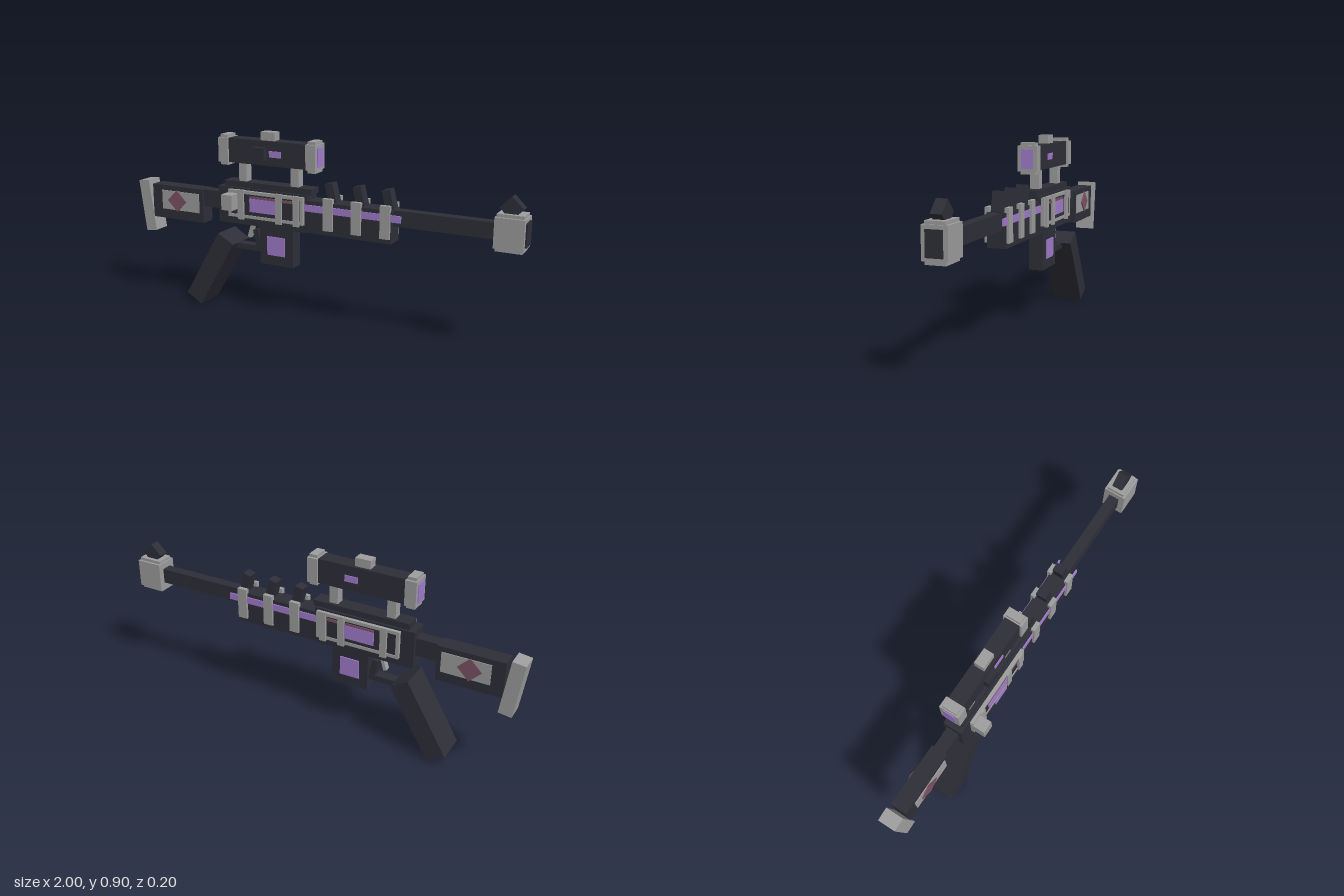
import * as THREE from 'three';

const mat = (name, color) => {
  const m = new THREE.MeshStandardMaterial({ color });
  m.name = name;
  return m;
};

export function createModel() {
  const dark = mat('charcoal', 0x2e2e38);
  const grey = mat('steel grey', 0x9e9e9e);
  const purple = mat('glowing purple', 0xa17ccd);
  const rose = mat('dusky rose', 0x7c5264);

  const model = new THREE.Group();
  model.name = 'longRifle';
  const body = new THREE.Group();
  body.name = 'body';
  body.position.z = -0.022; // centre plane of the body
  model.add(body);

  // Box from x and y limits; z limits are measured from the centre plane.
  const box = (name, m, x0, x1, y0, y1, z0, z1) => {
    const mesh = new THREE.Mesh(new THREE.BoxGeometry(x1 - x0, y1 - y0, z1 - z0), m);
    mesh.position.set((x0 + x1) / 2, (y0 + y1) / 2, (z0 + z1) / 2);
    mesh.name = name;
    body.add(mesh);
    return mesh;
  };
  const mid = (name, m, x0, x1, y0, y1, half) => box(name, m, x0, x1, y0, y1, -half, half);
  // The same box on both sides
  const pair = (name, m, x0, x1, y0, y1, near, far) => {
    box(name + 'Left', m, x0, x1, y0, y1, near, far);
    box(name + 'Right', m, x0, x1, y0, y1, -far, -near);
  };
  // Box turned about z, given by its centre
  const tilted = (name, m, x, y, w, h, half, degrees) => {
    const mesh = mid(name, m, x - w / 2, x + w / 2, y - h / 2, y + h / 2, half);
    mesh.rotation.z = THREE.MathUtils.degToRad(degrees);
    return mesh;
  };
  // Two crossing boxes give a block with stepped edges
  const steppedBlock = (name, m, x0, x1, y0, y1, half) => {
    mid(name + 'Wide', m, x0, x1, y0 + 0.014, y1 - 0.014, half);
    mid(name + 'Tall', m, x0 + 0.006, x1 - 0.006, y0, y1, half - 0.011);
  };

  // Stock with side plates and diamonds
  tilted('buttPad', grey, -0.953, 0.479, 0.062, 0.262, 0.043, 7.7);
  mid('stock', dark, -0.917, -0.612, 0.425, 0.595, 0.039);
  mid('stockNeck', dark, -0.62, -0.5, 0.51, 0.595, 0.029);
  pair('stockPlate', grey, -0.858, -0.634, 0.473, 0.57, 0.038, 0.043);
  for (const s of [1, -1]) {
    const d = tilted('stockDiamond', rose, -0.765, 0.522, 0.078, 0.078, 0.003, 45);
    d.position.z = s * 0.045;
  }

  // Receiver and forend
  mid('receiver', dark, -0.51, -0.02, 0.45, 0.63, 0.047);
  mid('receiverLid', dark, -0.479, -0.005, 0.63, 0.658, 0.036);
  mid('forend', dark, -0.02, 0.4, 0.452, 0.605, 0.044);
  mid('barrel', dark, 0.4, 0.9, 0.532, 0.605, 0.025);
  pair('forendStripe', purple, -0.04, 0.446, 0.555, 0.587, 0.043, 0.05);

  // Side panel, window and surrounding frame
  mid('sidePanel', dark, -0.44, -0.04, 0.5, 0.605, 0.06);
  pair('panelStripe', rose, -0.324, -0.085, 0.585, 0.598, 0.059, 0.064);
  pair('panelWindow', purple, -0.324, -0.165, 0.522, 0.587, 0.06, 0.066);
  for (const y of [0.488, 0.606])
    pair('frameRail', grey, -0.445, -0.035, y, y + 0.015, 0.045, 0.064);
  for (const x of [-0.445, -0.05])
    pair('frameEnd', grey, x, x + 0.015, 0.488, 0.621, 0.045, 0.064);
  for (const x of [-0.372, -0.163, -0.07])
    pair('frameClamp', grey, x - 0.016, x + 0.016, 0.48, 0.626, 0.06, 0.071);
  box('boltHandle', grey, -0.447, -0.388, 0.53, 0.605, 0.05, 0.122);

  // Forend clamps with leaning fins
  for (const x of [0.088, 0.23, 0.372]) {
    pair('forendClamp', grey, x - 0.024, x + 0.024, 0.475, 0.627, 0.036, 0.056);
    tilted('fin', dark, x, 0.648, 0.04, 0.09, 0.025, 14);
  }

  // Muzzle and front sight
  steppedBlock('muzzle', grey, 0.863, 0.992, 0.487, 0.65, 0.054);
  mid('muzzleBore', dark, 0.98, 1.0, 0.515, 0.62, 0.035);
  tilted('frontSight', dark, 0.925, 0.673, 0.073, 0.073, 0.024, 45);

  // Scope on two mounts
  for (const x of [-0.385, -0.101])
    mid('scopeMount', grey, x - 0.021, x + 0.021, 0.655, 0.755, 0.022);
  mid('scopeTube', dark, -0.463, -0.024, 0.748, 0.865, 0.037);
  steppedBlock('scopeRearRing', grey, -0.505, -0.452, 0.733, 0.88, 0.047);
  steppedBlock('scopeFrontRing', grey, -0.03, 0.021, 0.733, 0.88, 0.047);
  mid('scopeFrontLens', purple, 0.017, 0.025, 0.76, 0.85, 0.029);
  mid('scopeRearLens', purple, -0.509, -0.501, 0.76, 0.85, 0.029);
  mid('scopeTopKnob', grey, -0.28, -0.205, 0.86, 0.905, 0.024);
  box('scopeSideKnob', dark, -0.307, -0.243, 0.775, 0.835, 0.03, 0.063);
  pair('scopeLight', purple, -0.227, -0.163, 0.79, 0.82, 0.035, 0.041);

  // Magazine, trigger and grip
  mid('magazine', dark, -0.286, -0.104, 0.263, 0.455, 0.035);
  pair('magazineWindow', purple, -0.243, -0.147, 0.313, 0.405, 0.034, 0.041);
  mid('guardBar', dark, -0.45, -0.29, 0.318, 0.345, 0.025);
  tilted('guardPost', dark, -0.308, 0.375, 0.028, 0.1, 0.025, 11);
  tilted('trigger', grey, -0.353, 0.41, 0.016, 0.065, 0.014, -17);
  tilted('grip', dark, -0.559, 0.202, 0.097, 0.392, 0.075, -30.4);

  return model;
}
